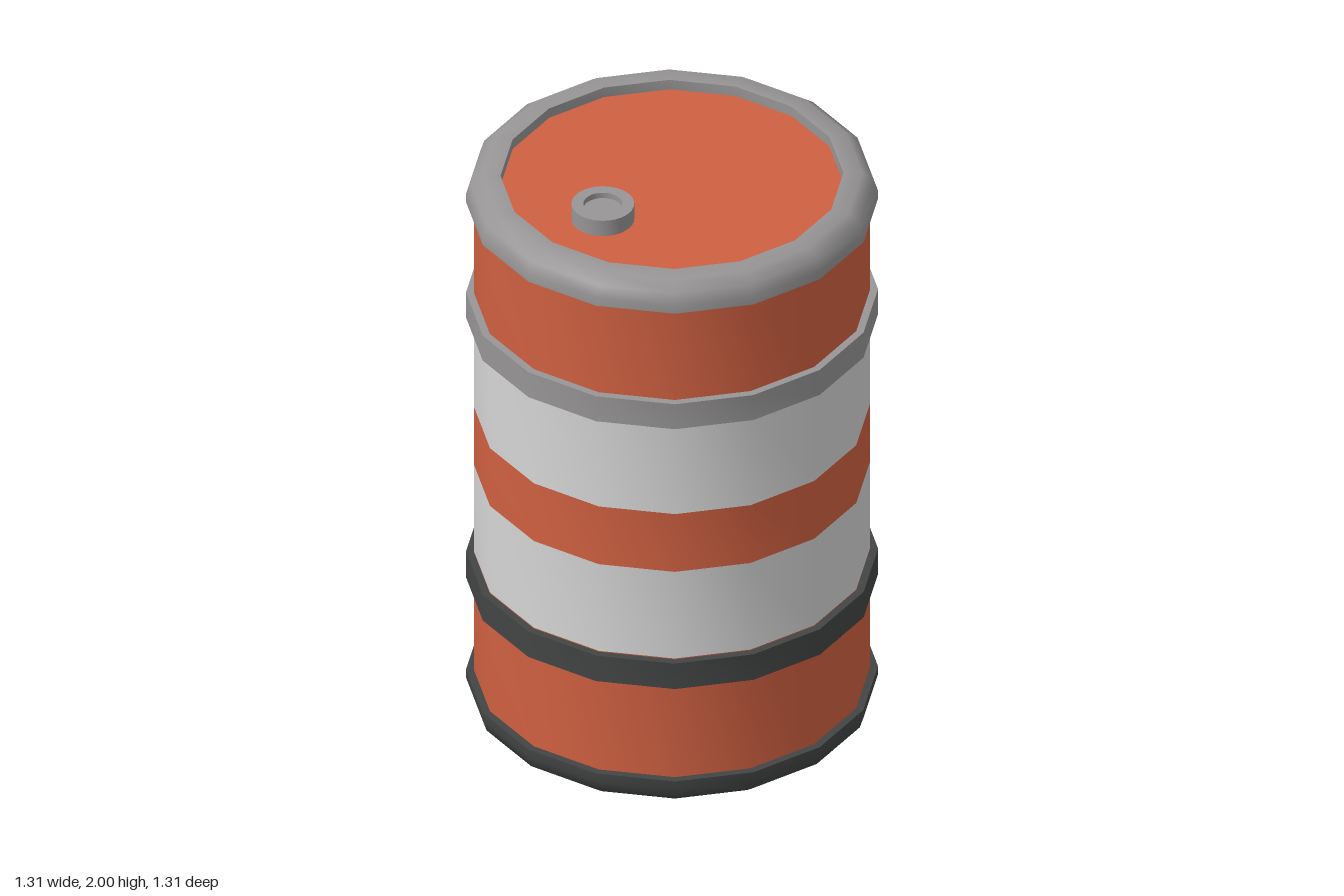
import * as THREE from 'three';
import { toCreasedNormals } from 'three/addons/utils/BufferGeometryUtils.js';

const SIDES = 16;
const BODY_R = 0.63;
const RIM_R = 0.655;

export function createModel() {
  const group = new THREE.Group();
  const material = (name, color) => new THREE.MeshStandardMaterial({ name, color });
  const orange = material('orange paint', 0xcf6041);
  const white = material('white paint', 0xd5d5d5);
  const grey = material('grey metal', 0x979595);
  const dark = material('dark metal', 0x434545);

  function add(name, geometry, mat) {
    const mesh = new THREE.Mesh(geometry, mat);
    mesh.name = name;
    group.add(mesh);
    return mesh;
  }

  // Revolved profile, listed from bottom outside to top
  function turned(name, profile, mat, sides = SIDES) {
    const points = profile.map(([r, y]) => new THREE.Vector2(r, y));
    return add(name, toCreasedNormals(new THREE.LatheGeometry(points, sides), 0.7), mat);
  }

  // Flat disc facing up or down
  function disc(name, radius, y, mat, up = true, sides = SIDES) {
    const geometry = new THREE.CircleGeometry(radius, sides);
    geometry.rotateX(up ? -Math.PI / 2 : Math.PI / 2);
    geometry.translate(0, y, 0);
    return add(name, geometry, mat);
  }

  // Painted wall sections
  const sections = [
    ['lowerWall', 0.06, 0.55, orange],
    ['lowerWhiteStripe', 0.55, 0.88, white],
    ['middleWall', 0.88, 1.10, orange],
    ['upperWhiteStripe', 1.10, 1.48, white],
    ['upperWall', 1.48, 1.92, orange],
  ];
  for (const [name, y0, y1, mat] of sections) {
    turned(name, [[BODY_R, y0], [BODY_R, y1]], mat);
  }

  // Raised hoops
  for (const [name, y0, y1, mat] of [['lowerHoop', 0.45, 0.547, dark], ['upperHoop', 1.44, 1.535, grey]]) {
    turned(name, [[0.61, y0], [RIM_R, y0], [RIM_R, y1], [0.61, y1]], mat);
  }

  // Rounded top and bottom rims
  const rim = [
    [0.61, 1.88], [RIM_R, 1.88], [RIM_R, 1.91], [0.642, 1.95],
    [0.605, 1.978], [0.545, 1.978], [0.545, 1.94],
  ];
  turned('topRim', rim, grey);
  turned('bottomRim', rim.map(([r, y]) => [r, 1.985 - y + 0.003 - 0.01 + 0.0]).map(([r, y]) => [r, Math.max(y, 0)]).reverse(), dark);

  // Recessed lid and base
  disc('lid', 0.546, 1.942, orange);
  disc('base', 0.546, 0.035, dark, false);

  // Filler cap with a hollow centre
  const cap = turned('fillerCap', [[0.1, 1.94], [0.1, 2], [0.062, 2], [0.062, 1.98]], grey, 32);
  const capFloor = disc('fillerCapFloor', 0.062, 1.98, grey, true, 32);
  for (const part of [cap, capFloor]) part.position.set(-0.13, 0, 0.268);

  return group;
}
